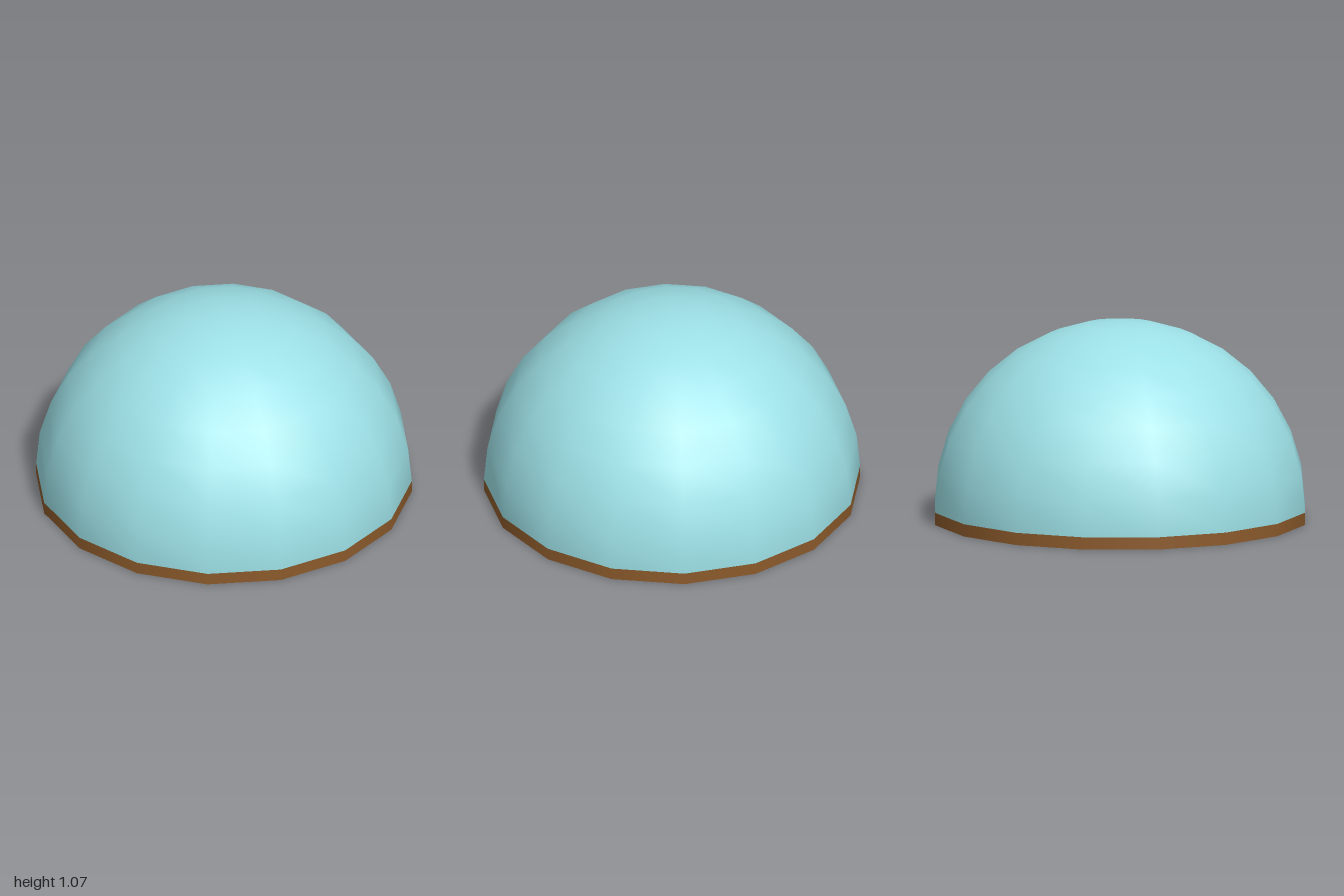
import * as THREE from 'three';

const SIDES = 16;
const BASE = 0.066; // height of the rim, where the dome starts

function part(parent, name, geometry, color, x = 0, y = 0, z = 0, side = THREE.FrontSide) {
  const mesh = new THREE.Mesh(geometry, new THREE.MeshStandardMaterial({ color, side }));
  mesh.name = name;
  mesh.position.set(x, y, z);
  parent.add(mesh);
  return mesh;
}

// Gable prism with its ridge along z
function gableRoof(width, height, length) {
  const shape = new THREE.Shape();
  shape.moveTo(-width / 2, 0);
  shape.lineTo(width / 2, 0);
  shape.lineTo(0, height);
  shape.closePath();
  return new THREE.ExtrudeGeometry(shape, { depth: length, bevelEnabled: false }).translate(0, 0, -length / 2);
}

export function createModel() {
  const model = new THREE.Group();
  model.name = 'domedGarden';

  // Smooth hemispherical dome, open underneath
  const dome = new THREE.SphereGeometry(1, SIDES, 8, 0, Math.PI * 2, 0, Math.PI / 2);
  part(model, 'dome', dome, 0x9ce0e6, 0, BASE, 0, THREE.DoubleSide);

  // Open rim that the dome stands on
  const rim = new THREE.CylinderGeometry(1, 1, BASE, SIDES, 1, true);
  part(model, 'rim', rim, 0x8b5a2b, 0, BASE / 2, 0, THREE.DoubleSide);

  // Grass floor, just inside the rim
  const floor = new THREE.CircleGeometry(0.99, SIDES).rotateX(-Math.PI / 2);
  part(model, 'grassFloor', floor, 0x4a7c3a, 0, BASE, 0, THREE.DoubleSide);

  // Path from the house to the rim, sunk slightly through the floor
  part(model, 'path', new THREE.BoxGeometry(1.1, 0.016, 0.25), 0x897d4b, 0.39, BASE, 0.125);

  // House inside the dome
  const house = new THREE.Group();
  house.name = 'house';
  house.position.set(-0.39, BASE - 0.01, -0.07);
  model.add(house);
  part(house, 'walls', new THREE.BoxGeometry(0.465, 0.3, 0.75), 0x6d4234, 0, 0.15, 0);
  part(house, 'roof', gableRoof(0.52, 0.16, 0.8), 0x5a3428, 0, 0.3, 0);
  part(house, 'door', new THREE.BoxGeometry(0.02, 0.2, 0.13), 0x4a2c1c, 0.235, 0.11, 0.195);

  return model;
}
